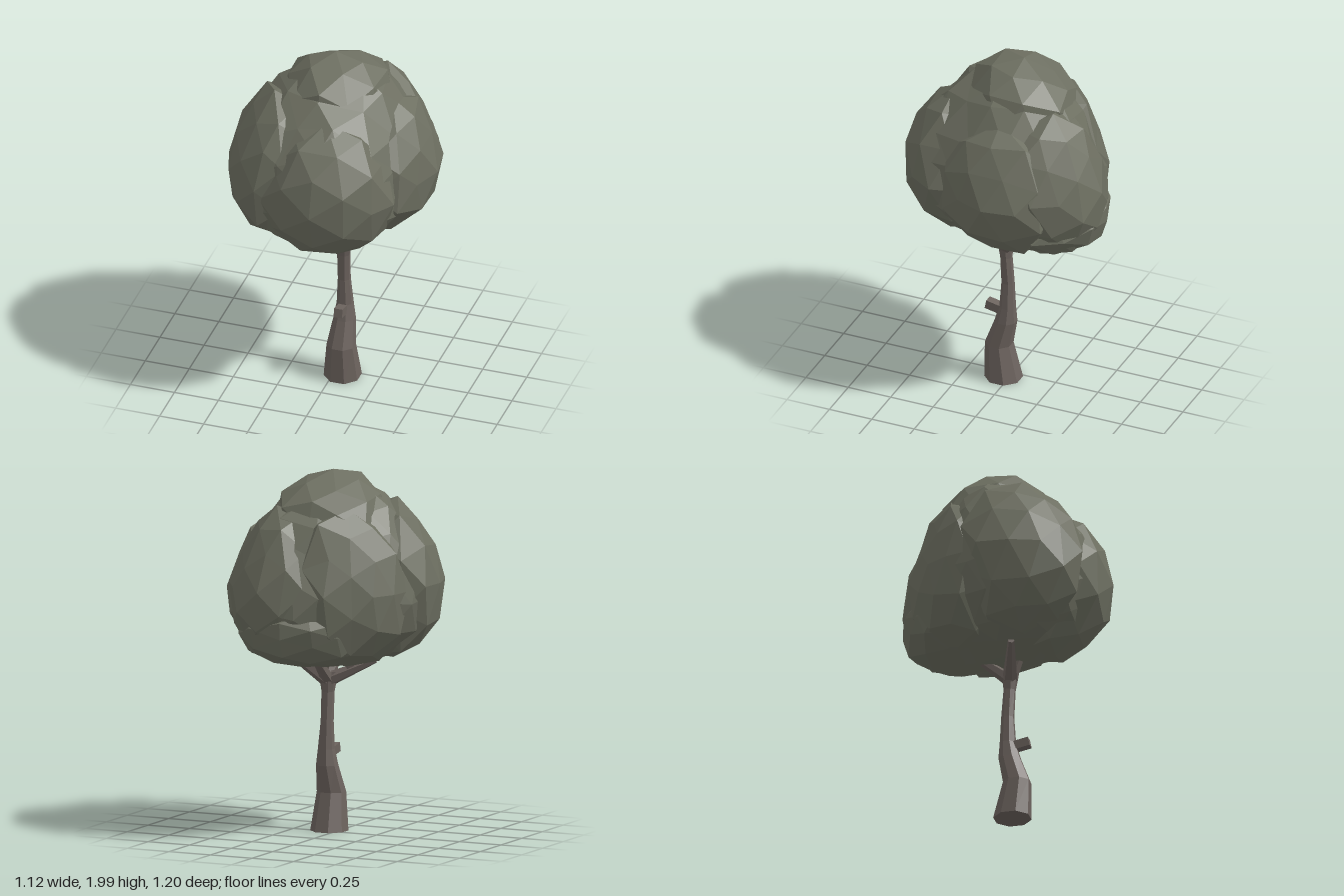
import * as THREE from 'three';
import { mergeVertices } from 'three/addons/utils/BufferGeometryUtils.js';

const leafMat = new THREE.MeshStandardMaterial({ color: 0x6d6f61, flatShading: true });
const barkMat = new THREE.MeshStandardMaterial({ color: 0x6c635e, flatShading: true });
const V = (x, y, z) => new THREE.Vector3(x, y, z);

// small seeded noise source
function seeded(seed) {
  let s = seed;
  return () => ((s = (s * 16807) % 2147483647) / 2147483647);
}

// crown envelope: radius by elevation (-90 to 90 in 15 degree steps) on four sides,
// and plan outline by azimuth from +x towards +z (22.5 degree steps)
const CENTRE = V(0, 1.32, 0);
const PROFILES = [
  [0.43, 0.43, 0.44, 0.47, 0.51, 0.565, 0.57, 0.57, 0.55, 0.555, 0.59, 0.63, 0.685], // left
  [0.43, 0.43, 0.445, 0.495, 0.555, 0.57, 0.57, 0.57, 0.56, 0.55, 0.565, 0.61, 0.685], // front
  [0.43, 0.43, 0.445, 0.485, 0.53, 0.565, 0.57, 0.57, 0.58, 0.592, 0.628, 0.66, 0.685], // right
  [0.43, 0.43, 0.45, 0.51, 0.61, 0.585, 0.585, 0.55, 0.55, 0.595, 0.61, 0.63, 0.685], // back
];
const PLAN = [0.55, 0.475, 0.55, 0.585, 0.59, 0.57, 0.605, 0.58, 0.55, 0.505, 0.5, 0.5, 0.565, 0.635, 0.585, 0.565];

function sample(table, t) {
  const i = Math.floor(t), n = table.length;
  return THREE.MathUtils.lerp(table[i % n], table[(i + 1) % n], t - i);
}

// returns the envelope point lying in the direction of an offset from the centre
function envelope(d) {
  const turn = (Math.atan2(d.z, d.x) / (Math.PI * 2) + 1) % 1;
  const s = sample(PLAN, turn * 16) / 0.57;
  const n = V(d.x / s, d.y, d.z / s).normalize();
  const up = Math.asin(THREE.MathUtils.clamp(n.y, -1, 1)) / Math.PI + 0.5;
  const radii = PROFILES.map(p => sample(p, Math.min(up * 12, 11.999)));
  const r = sample(radii, turn * 4);
  return V(n.x * r * s, n.y * r, n.z * r * s);
}

// faceted ball whose vertices are moved by a rule
function facetedBall(detail, rule) {
  const raw = new THREE.IcosahedronGeometry(1, detail);
  raw.deleteAttribute('uv');
  raw.deleteAttribute('normal');
  const geo = mergeVertices(raw, 1e-4);
  const pos = geo.attributes.position;
  const v = V(0, 0, 0);
  for (let i = 0; i < pos.count; i++) {
    v.fromBufferAttribute(pos, i);
    const p = rule(v);
    pos.setXYZ(i, p.x, p.y, p.z);
  }
  const flat = geo.toNonIndexed();
  flat.computeVertexNormals();
  return flat;
}

function mesh(name, geo, mat) {
  const m = new THREE.Mesh(geo, mat);
  m.name = name;
  return m;
}

function makeCrown() {
  const crown = new THREE.Group();
  crown.name = 'crown';
  crown.position.copy(CENTRE);

  // main mass of leaves
  const rnd = seeded(71);
  crown.add(mesh('crownCore', facetedBall(2, v => {
    const d = v.clone().add(V(rnd() - 0.5, rnd() - 0.5, rnd() - 0.5).multiplyScalar(0.16));
    return envelope(d).multiplyScalar(0.96 + rnd() * 0.02);
  }), leafMat));

  // overlapping clumps, kept inside the crown envelope: centre, radii
  const clumps = [
    [V(0.30, 0.02, -0.06), V(0.28, 0.38, 0.34)],
    [V(-0.30, 0.06, 0.18), V(0.29, 0.43, 0.34)],
    [V(0.05, 0.0, 0.31), V(0.36, 0.42, 0.31)],
    [V(0.19, 0.06, -0.32), V(0.28, 0.42, 0.32)],
    [V(-0.20, 0.04, -0.24), V(0.32, 0.44, 0.29)],
    [V(-0.02, 0.37, -0.06), V(0.30, 0.34, 0.31)],
    [V(0.05, -0.21, -0.30), V(0.34, 0.19, 0.31)],
  ];
  clumps.forEach(([c, r], k) => {
    const jit = seeded(977 + k * 131);
    crown.add(mesh('leafClump' + (k + 1), facetedBall(1, v => {
      const p = v.clone().multiply(r).multiplyScalar(0.98 + jit() * 0.14).add(c);
      const max = envelope(p).length() * (1.0 + jit() * 0.025);
      return p.length() > max ? p.setLength(max) : p;
    }), leafMat));
  });
  return crown;
}

// closed tube of eight-sided level rings: [x, y, z, radiusX, radiusZ]
function ringTube(rings, sides = 8) {
  const pos = [], idx = [];
  for (const [x, y, z, rx, rz] of rings) {
    for (let i = 0; i < sides; i++) {
      const a = ((i + 0.5) / sides) * Math.PI * 2;
      pos.push(x + Math.cos(a) * rx, y, z + Math.sin(a) * rz);
    }
  }
  for (let j = 0; j < rings.length - 1; j++) {
    for (let i = 0; i < sides; i++) {
      const a = j * sides + i, b = j * sides + (i + 1) % sides;
      idx.push(a, a + sides, b, b, a + sides, b + sides);
    }
  }
  const top = (rings.length - 1) * sides;
  for (let i = 1; i < sides - 1; i++) {
    idx.push(0, i, i + 1, top, top + i + 1, top + i);
  }
  const geo = new THREE.BufferGeometry();
  geo.setAttribute('position', new THREE.Float32BufferAttribute(pos, 3));
  geo.setIndex(idx);
  const flat = geo.toNonIndexed();
  flat.computeVertexNormals();
  return flat;
}

// tapered limb between two points
function limb(name, a, b, ra, rb) {
  const dir = b.clone().sub(a);
  const m = mesh(name, new THREE.CylinderGeometry(rb, ra, dir.length(), 6), barkMat);
  m.position.copy(a).add(b).multiplyScalar(0.5);
  m.quaternion.setFromUnitVectors(V(0, 1, 0), dir.normalize());
  return m;
}

export function createModel() {
  const tree = new THREE.Group();
  tree.name = 'tree';
  tree.add(makeCrown());

  // bent trunk
  tree.add(mesh('trunk', ringTube([
    [0.05, 0, 0.034, 0.103, 0.105],
    [0.05, 0.21, 0.06, 0.08, 0.077],
    [0.055, 0.36, 0.018, 0.06, 0.062],
    [0.055, 0.45, 0.008, 0.046, 0.045],
    [0.05, 0.6, 0.008, 0.035, 0.036],
    [0.05, 0.76, 0.018, 0.036, 0.033],
    [0.05, 0.87, 0.025, 0.055, 0.045],
  ]), barkMat));

  // cut-off stub on the front of the trunk
  const stub = mesh('branchStub', new THREE.BoxGeometry(0.048, 0.05, 0.11), barkMat);
  stub.position.set(0.055, 0.433, 0.075);
  stub.rotation.x = -0.2;
  tree.add(stub);

  // limbs reaching into the crown
  const fork = V(0.05, 0.825, 0.02);
  tree.add(limb('leftBranch', fork, V(0.23, 0.98, -0.08), 0.044, 0.027));
  tree.add(limb('rightBranch', fork, V(-0.2, 0.94, 0.09), 0.042, 0.018));
  tree.add(limb('rightTwig', V(-0.05, 0.87, 0.05), V(-0.12, 0.98, 0.05), 0.026, 0.016));
  tree.add(limb('backBranch', fork, V(0.04, 0.97, -0.16), 0.038, 0.02));
  tree.add(limb('frontBranch', fork, V(0.03, 0.97, 0.09), 0.038, 0.024));
  return tree;
}
